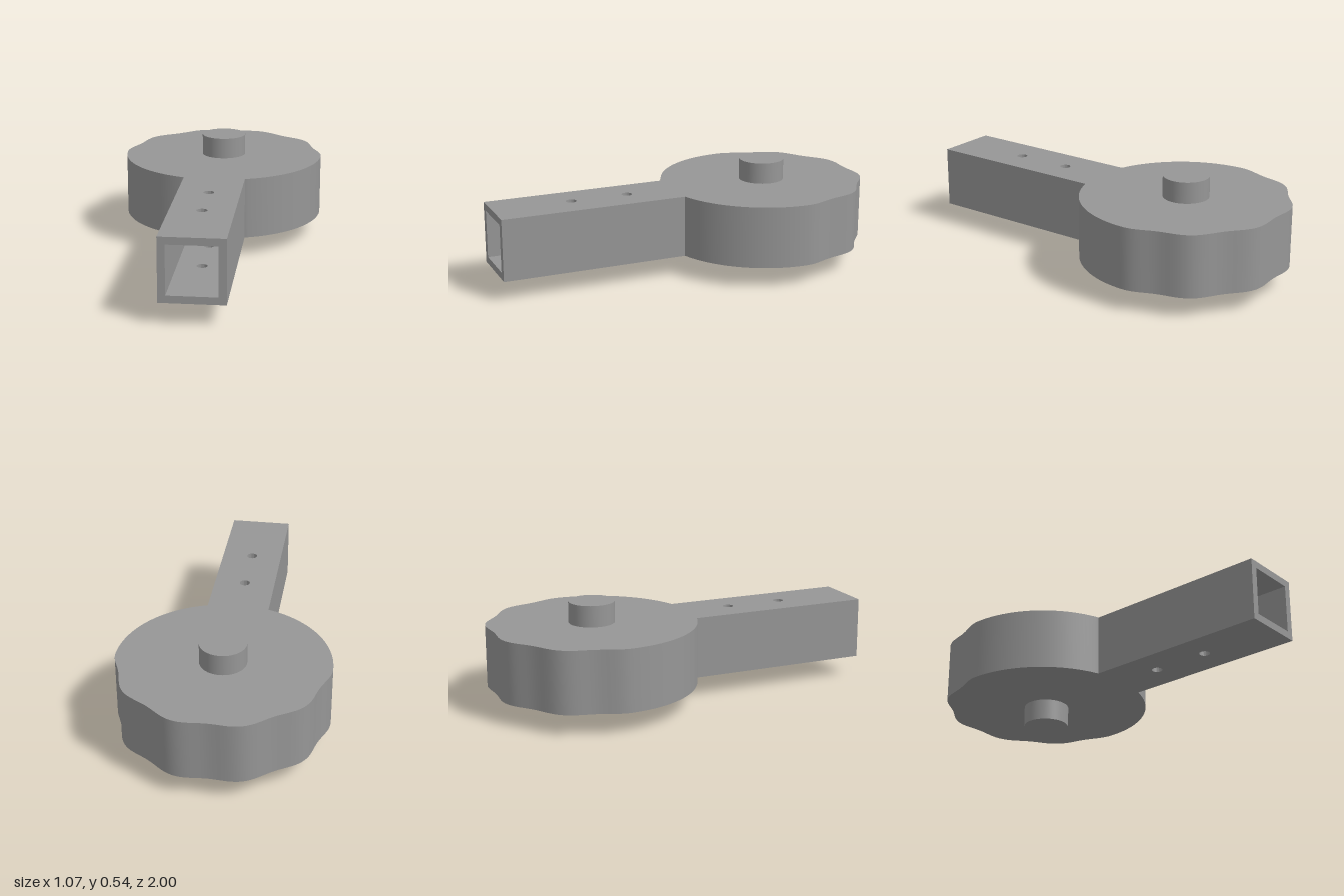
import * as THREE from 'three';
import { toCreasedNormals } from 'three/addons/utils/BufferGeometryUtils.js';

const BOTTOM = 0.11, TOP = 0.43;      // height range of the body
const HALF = 0.16, NECK = 0.03;       // handle half width, z where it meets the head
const WALL = 0.037;                   // handle wall thickness
const CENTRE = -0.48, RADIUS = 0.537; // head

export function createModel() {
  const group = new THREE.Group();
  const grey = new THREE.MeshStandardMaterial({ color: 0x969696 });
  grey.name = 'grey';

  const add = (name, geometry, x = 0, y = 0, z = 0) => {
    const mesh = new THREE.Mesh(geometry, grey);
    mesh.name = name;
    mesh.position.set(x, y, z);
    group.add(mesh);
  };
  // Plan shapes use (x, -z) and are extruded upwards
  const slab = (shape, depth) => toCreasedNormals(
    new THREE.ExtrudeGeometry(shape, { depth, bevelEnabled: false, curveSegments: 24 })
      .rotateX(-Math.PI / 2), 0.5);

  // Head: round towards the handle, with five gentle lobes round the back
  const neckAngle = Math.acos(HALF / RADIUS);
  const outline = [];
  const steps = 160;
  for (let i = 0; i <= steps; i++) {
    const a = -neckAngle + (Math.PI + 2 * neckAngle) * i / steps;
    const r = Math.sin(a) < 0 ? RADIUS : RADIUS - 0.012 * (1 - Math.cos(10 * a));
    outline.push(new THREE.Vector2(r * Math.cos(a), r * Math.sin(a) - CENTRE));
  }
  add('head', slab(new THREE.Shape(outline), TOP - BOTTOM), 0, BOTTOM);

  // Pin standing out above and below the head
  add('pin', new THREE.CylinderGeometry(0.118, 0.118, 0.54, 48), 0, 0.27, CENTRE);

  // Hollow handle: two drilled plates and two side walls
  const plate = new THREE.Shape([
    new THREE.Vector2(-HALF, -1), new THREE.Vector2(HALF, -1),
    new THREE.Vector2(HALF, -NECK), new THREE.Vector2(-HALF, -NECK),
  ]);
  for (const z of [0.29, 0.59]) {
    plate.holes.push(new THREE.Path().absarc(0, -z, 0.027, 0, Math.PI * 2, true));
  }
  add('handleBottom', slab(plate, WALL), 0, BOTTOM);
  add('handleTop', slab(plate, WALL), 0, TOP - WALL);
  for (const side of [-1, 1]) {
    add(side > 0 ? 'handleLeftWall' : 'handleRightWall',
      new THREE.BoxGeometry(WALL, TOP - BOTTOM - 2 * WALL, 1 - NECK),
      side * (HALF - WALL / 2), (TOP + BOTTOM) / 2, (1 + NECK) / 2);
  }
  return group;
}
